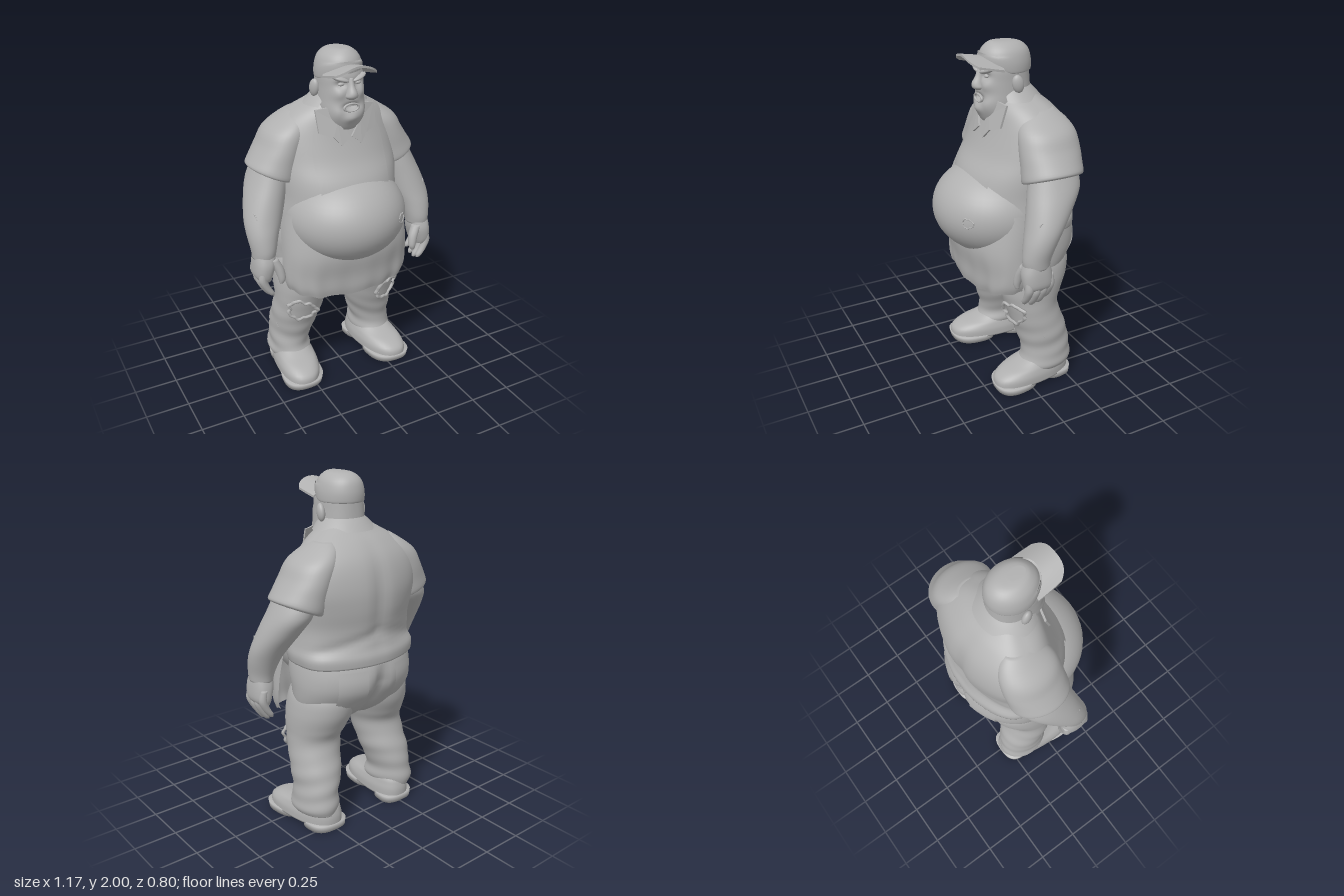
import * as THREE from 'three';

const grey = new THREE.MeshStandardMaterial({ color: 0xb0b0b0, side: THREE.DoubleSide });
grey.name = 'clay grey';

const bump = (d, w) => Math.exp(-(d * d) / (w * w));

// Smoothly interpolate rows of numbers
function smoothRows(rows, n) {
  const out = [], at = i => rows[Math.max(0, Math.min(rows.length - 1, i))];
  for (let i = 0; i < rows.length - 1; i++) for (let k = 0; k < n; k++) {
    const t = k / n, [p, a, b, q] = [at(i - 1), at(i), at(i + 1), at(i + 2)];
    out.push(a.map((_, c) => a[c] + 0.5 * t * (b[c] - p[c] + t * (2 * p[c] - 5 * a[c] + 4 * b[c] - q[c]
      + t * (3 * (a[c] - b[c]) + q[c] - p[c])))));
  }
  out.push(rows.at(-1));
  return out;
}

// Skin horizontal rings, listed top to bottom: [y, centre x, half width, front z, back z].
// from/to limit the arc to an open sheet (0 = front, PI/2 = +x); rule moves each vertex.
function loft(rows, { segs = 40, sub = 4, pow = 2, from, to, rule } = {}) {
  const open = from !== undefined;
  const rings = smoothRows(rows, sub);
  if (!open) {
    const tip = ([y, x, , f, b]) => [y, x, 0, (f + b) / 2, (f + b) / 2];
    rings.unshift(tip(rings[0]));
    rings.push(tip(rings.at(-1)));
  }
  const pos = [], index = [], cols = open ? segs + 1 : segs, v = new THREE.Vector3();
  const round = s => Math.sign(s) * Math.abs(s) ** (2 / pow);
  rings.forEach(([y, x, r, f, b], i) => {
    for (let j = 0; j < cols; j++) {
      const a = open ? from + (to - from) * j / segs : j / segs * Math.PI * 2;
      v.set(x + r * round(Math.sin(a)), y, (f + b) / 2 + (f - b) / 2 * round(Math.cos(a)));
      if (rule) rule(v, a);
      pos.push(v.x, v.y, v.z);
      if (i < rings.length - 1 && j < segs) {
        const p = i * cols + j, q = i * cols + (j + 1) % cols;
        index.push(p, p + cols, q, q, p + cols, q + cols);
      }
    }
  });
  const g = new THREE.BufferGeometry();
  g.setAttribute('position', new THREE.Float32BufferAttribute(pos, 3));
  g.setIndex(index);
  g.computeVertexNormals();
  return g;
}

// Move the vertices of a geometry by a rule
function bend(g, rule) {
  const p = g.attributes.position, v = new THREE.Vector3();
  for (let i = 0; i < p.count; i++) {
    rule(v.fromBufferAttribute(p, i));
    p.setXYZ(i, v.x, v.y, v.z);
  }
  g.computeVertexNormals();
  return g;
}

export function createModel() {
  const model = new THREE.Group();
  model.name = 'heavyMan';
  const add = (name, g, pos = [0, 0, 0], rot = [0, 0, 0], scale = [1, 1, 1]) => {
    const m = new THREE.Mesh(g, grey);
    m.name = name;
    m.position.set(...pos); m.rotation.set(...rot); m.scale.set(...scale);
    model.add(m);
  };
  const ball = (name, pos, scale, rot) => add(name, new THREE.SphereGeometry(1, 48, 28), pos, rot, scale);
  // Ragged rim of torn cloth or skin
  const tear = (name, r, pos, rot) => add(name, bend(new THREE.TorusGeometry(r, r * 0.14, 6, 48), v => {
    const a = Math.atan2(v.y, v.x), k = 1 + 0.08 * Math.sin(3 * a + 1) + 0.08 * Math.sin(7 * a) + 0.05 * Math.sin(11 * a);
    v.set(v.x * k * 1.1, v.y * k * 0.9, v.z - v.x * v.x * 2);
  }), pos, rot);

  // Shirt with broad shoulder blades, a furrow down the spine and a fold at the waist
  const shirt = [
    [1.75, 0, 0.1, 0.05, -0.15], [1.7, 0, 0.18, 0.07, -0.205], [1.65, 0, 0.26, 0.09, -0.265],
    [1.58, 0, 0.335, 0.105, -0.322], [1.5, 0, 0.37, 0.13, -0.357], [1.4, 0, 0.38, 0.17, -0.377],
    [1.3, 0, 0.37, 0.228, -0.377], [1.2, 0, 0.36, 0.26, -0.364], [1.1, 0, 0.37, 0.26, -0.365],
    [1.04, 0, 0.38, 0.22, -0.385], [0.99, 0, 0.372, 0.2, -0.385]];
  add('shirt', loft(shirt, { segs: 72, rule: (v, a) => {
    if (Math.cos(a) > 0) return;
    v.x *= 1 + 0.12 * Math.sin(2 * a) ** 2;
    v.z += 0.02 * bump(v.x, 0.05) * bump(v.y - 1.35, 0.25);
    v.z += 0.012 * bump(v.y - 1.17 + 0.25 * Math.abs(v.x), 0.03);
  } }));
  ball('belly', [0, 1.065, 0.05], [0.358, 0.275, 0.357]);
  tear('bellyTear', 0.03, [0.225, 1.08, 0.326], [0, 0.65, 0]);

  // Apron: bib over the chest, skirt hanging from the belly
  const bib = shirt.slice(3, 8).map(([y, x, r, f, b]) => [y, x, r + 0.008, f + 0.01, b]);
  add('apronBib', loft(bib, { from: -0.6, to: 0.6, segs: 20 }));
  add('apronSkirt', loft([
    [1.12, 0, 0.365, 0.24, -0.2], [1.0, 0, 0.38, 0.27, -0.2], [0.88, 0, 0.388, 0.285, -0.17],
    [0.76, 0, 0.392, 0.265, -0.13], [0.68, 0, 0.385, 0.258, -0.1], [0.635, 0, 0.37, 0.248, -0.09]], {
    from: -1.62, to: 1.62, segs: 72, pow: 2.3, rule: (v, a) => {
      const low = Math.max(0, (0.9 - v.y) / 0.26);
      v.z += low * (0.006 * Math.sin(a * 7 + 1) + 0.003 * Math.sin(a * 17 + 1));
      v.y += low * (0.04 * (v.x / 0.38) ** 4 - 0.01 + 0.005 * Math.sin(a * 13));
    } }));

  // Trouser seat with a cleft, and back pockets
  const seat = [
    [1.04, 0, 0.36, 0.15, -0.36], [0.98, 0, 0.373, 0.18, -0.388], [0.91, 0, 0.38, 0.18, -0.402],
    [0.84, 0, 0.378, 0.15, -0.388], [0.76, 0, 0.368, 0.12, -0.335], [0.68, 0, 0.34, 0.08, -0.265],
    [0.62, 0, 0.2, 0.04, -0.18]];
  add('trouserSeat', loft(seat, { segs: 80, rule: v => {
    if (v.z < -0.1) v.z += 0.045 * bump(v.x, 0.04) * Math.min(1, Math.max(0, (1 - v.y) / 0.12));
  } }));
  const pocket = seat.slice(1, 5).map(([y, x, r, f, b]) => [y - 0.01, x, r + 0.004, f, b - 0.005]);

  // Collar band behind the neck
  add('collar', loft([[1.76, 0, 0.125, 0.08, -0.155], [1.735, 0, 0.15, 0.09, -0.18], [1.695, 0, 0.188, 0.1, -0.215]],
    { from: 0.9, to: Math.PI * 2 - 0.9, segs: 40 }));

  for (const s of [1, -1]) {
    const side = rows => rows.map(([y, x, ...rest]) => [y, x * s, ...rest]);
    const mid = Math.PI + s * 0.5;
    add('backPocket', loft(pocket, { from: mid - 0.24, to: mid + 0.24, segs: 10 }));

    // Collar flap, bent around the chest
    const flap = new THREE.Shape([[0.005, 1.54], [0.06, 1.495], [0.1, 1.545], [0.175, 1.57], [0.18, 1.69], [0.11, 1.7], [0.07, 1.62]]
      .map(([x, y]) => new THREE.Vector2(x * s, y)));
    add('collarFlap', bend(new THREE.ExtrudeGeometry(flap, { depth: 0.012, bevelEnabled: false }),
      v => { v.z += 0.142 - (v.y - 1.5) * 0.28 - v.x * v.x * 1.0; }));

    // Short sleeve running out of the shoulder, hem dropping towards the body
    add('sleeve', loft(side([
      [1.66, 0.2, 0.05, -0.05, -0.2], [1.62, 0.23, 0.085, 0.0, -0.25], [1.56, 0.275, 0.125, 0.04, -0.285],
      [1.48, 0.315, 0.13, 0.055, -0.295], [1.4, 0.348, 0.137, 0.06, -0.29], [1.33, 0.372, 0.14, 0.065, -0.285],
      [1.315, 0.372, 0.122, 0.05, -0.265]]), {
      rule: v => { v.y += Math.min(0.18, Math.max(0, 1.5 - v.y)) * 2.2 * (Math.abs(v.x) - 0.38); } }));

    // Bare arm
    add('arm', loft(side([
      [1.42, 0.37, 0.09, 0.02, -0.23], [1.3, 0.405, 0.113, 0.05, -0.25], [1.2, 0.442, 0.115, 0.075, -0.19],
      [1.1, 0.475, 0.108, 0.1, -0.115], [1.02, 0.495, 0.09, 0.122, -0.065], [0.94, 0.502, 0.072, 0.135, -0.03],
      [0.89, 0.505, 0.064, 0.13, -0.02]])));
    tear('armTear', 0.028, [s * 0.548, 1.13, 0.03], [0, s * 1.3, s * 0.3]);

    // Hand with curled fingers
    add('palm', loft(side([[0.92, 0.505, 0.058, 0.125, -0.01], [0.86, 0.51, 0.062, 0.145, -0.028],
      [0.79, 0.52, 0.052, 0.14, -0.032], [0.755, 0.515, 0.034, 0.125, -0.02]]), { pow: 2.4 }));
    for (let i = 0; i < 4; i++) {
      const z = -0.01 + i * 0.042, drop = [0.03, 0.005, 0, 0.015][i];
      const f = (y, x, r) => [y + drop, x, r, z + r, z - r];
      add('finger', loft(side([f(0.82, 0.53, 0.022), f(0.76, 0.54, 0.025), f(0.71, 0.522, 0.023),
        f(0.67, 0.497, 0.02), f(0.65, 0.486, 0.011)]), { segs: 12 }));
    }
    add('thumb', loft(side([[0.89, 0.475, 0.03, 0.135, 0.075], [0.83, 0.445, 0.028, 0.15, 0.09],
      [0.77, 0.432, 0.022, 0.155, 0.11], [0.74, 0.436, 0.012, 0.145, 0.12]]), { segs: 14 }));

    // Baggy trouser leg, creased towards the hem
    add('trouserLeg', loft(side([
      [0.88, 0.18, 0.12, 0.08, -0.25], [0.8, 0.19, 0.172, 0.115, -0.305], [0.7, 0.203, 0.182, 0.13, -0.3],
      [0.6, 0.22, 0.17, 0.12, -0.258], [0.52, 0.235, 0.154, 0.095, -0.225], [0.4, 0.252, 0.148, 0.06, -0.255],
      [0.3, 0.268, 0.134, 0.025, -0.287], [0.2, 0.285, 0.119, 0.008, -0.295], [0.13, 0.288, 0.122, 0.025, -0.308],
      [0.095, 0.288, 0.112, 0.015, -0.3]]), {
      sub: 6, rule: (v, a) => {
        const k = Math.max(0, 1 - v.y / 0.65) * (0.004 * Math.sin(v.y * 60 + 2 * Math.sin(a * s + 1))
          + 0.004 * Math.sin(v.y * 37 + 3 * Math.cos(a) + a));
        v.x += k * Math.sin(a); v.z += k * Math.cos(a);
      } }));
    tear('kneeTear', 0.075, [s * 0.29, 0.48, 0.08], [0.25, s * 0.35, s * 0.2]);
    tear('shinTear', 0.026, [s * 0.375, 0.33, -0.045], [0, s * 0.9, 0]);

    // Rounded shoe, turned slightly outwards, over a split sole
    const splay = v => { v.x += s * 0.1 * (v.z + 0.05); };
    add('shoe', loft(side([
      [0.17, 0.285, 0.09, -0.02, -0.26], [0.135, 0.285, 0.105, 0.06, -0.285], [0.11, 0.285, 0.115, 0.145, -0.295],
      [0.075, 0.285, 0.124, 0.198, -0.302], [0.03, 0.285, 0.124, 0.205, -0.302]]), { pow: 2.4, rule: splay }));
    add('frontSole', loft(side([[0.04, 0.285, 0.127, 0.208, -0.07], [0.0, 0.285, 0.122, 0.2, -0.065]]), { sub: 1, pow: 2.6, rule: splay }));
    add('heel', loft(side([[0.04, 0.285, 0.115, -0.11, -0.305], [0.0, 0.285, 0.112, -0.115, -0.302]]), { sub: 1, pow: 2.8, rule: splay }));

    // Eyes, brows and ears
    ball('eye', [s * 0.05, 1.828, 0.118], [0.018, 0.01, 0.012]);
    ball('brow', [s * 0.055, 1.857, 0.118], [0.05, 0.014, 0.028], [0, s * 0.35, s * 0.3]);
    ball('ear', [s * 0.138, 1.788, -0.025], [0.022, 0.05, 0.032], [0.2, -s * 0.3, 0]);
  }

  // Head with sunken eyes, full cheeks and jowls, and an open mouth
  add('head', loft([
    [1.92, 0, 0.11, 0.12, -0.14], [1.86, 0, 0.122, 0.138, -0.145], [1.8, 0, 0.125, 0.14, -0.15], [1.74, 0, 0.128, 0.143, -0.155],
    [1.68, 0, 0.13, 0.147, -0.16], [1.62, 0, 0.12, 0.142, -0.16], [1.575, 0, 0.095, 0.12, -0.14], [1.55, 0, 0.05, 0.09, -0.1]], {
    segs: 72, sub: 6, pow: 2.3, rule: v => {
      if (v.z < 0.03) return;
      const x = Math.abs(v.x);
      v.z -= 0.022 * bump(x - 0.05, 0.03) * bump(v.y - 1.828, 0.02);
      v.z += 0.012 * bump(x - 0.068, 0.03) * bump(v.y - 1.775, 0.028);
      v.z += 0.012 * bump(x - 0.08, 0.03) * bump(v.y - 1.67, 0.04);
      v.z -= 0.03 * bump(x, 0.04) * bump(v.y - 1.705, 0.017);
      v.z += 0.016 * bump(x, 0.045) * bump(v.y - 1.645, 0.025);
    } }));
  add('nose', loft([[1.86, 0, 0.014, 0.145, 0.1], [1.82, 0, 0.02, 0.16, 0.1], [1.785, 0, 0.03, 0.18, 0.1],
    [1.762, 0, 0.036, 0.178, 0.1], [1.748, 0, 0.022, 0.16, 0.1]], { segs: 24 }));
  add('lips', new THREE.TorusGeometry(0.043, 0.008, 10, 28), [0, 1.702, 0.143], [0, 0, 0], [1, 0.5, 1]);
  add('teeth', new THREE.BoxGeometry(0.055, 0.01, 0.014), [0, 1.713, 0.133]);

  // Cap and arched brim
  add('cap', loft([[2.0, 0, 0.03, 0.06, -0.03], [1.99, 0, 0.07, 0.085, -0.1], [1.955, 0, 0.108, 0.118, -0.145],
    [1.9, 0, 0.126, 0.135, -0.162], [1.85, 0, 0.128, 0.132, -0.162], [1.84, 0, 0.122, 0.12, -0.156]],
  { rule: v => { if (v.y < 1.92 && v.z > 0) v.y += 0.25 * v.z; } }));
  add('capBrim', bend(new THREE.BoxGeometry(2, 0.012, 1, 24, 1, 10), v => {
    const u = v.x, t = v.z + 0.5;
    v.set(0.129 * u * (1 - 0.06 * t * t), 1.912 + v.y + 0.03 * t - 0.05 * u * u, 0.05 + t * (0.193 - 0.05 * u ** 4));
  }));
  return model;
}
